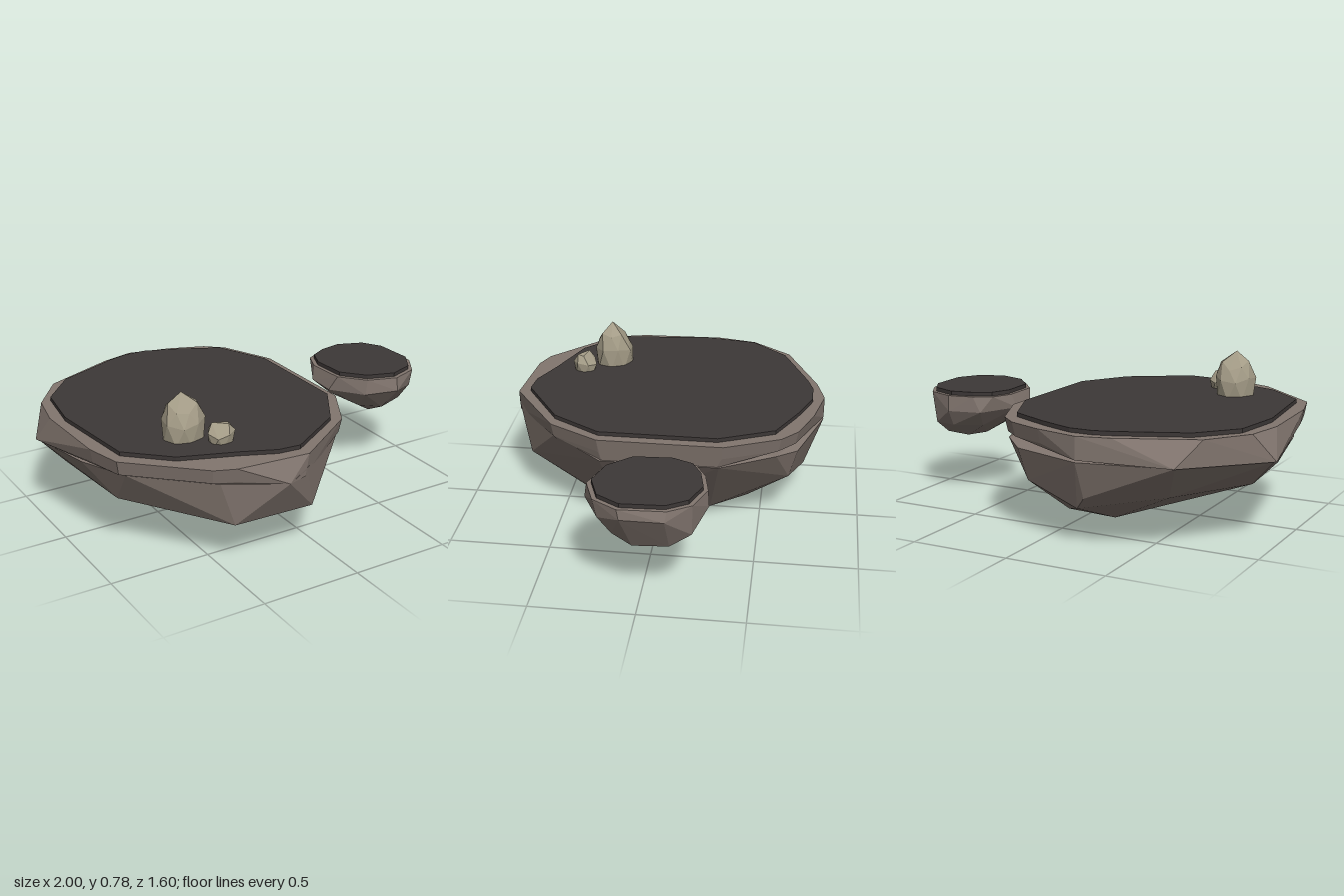
import * as THREE from 'three';
import { ConvexGeometry } from 'three/addons/geometries/ConvexGeometry.js';

const rock = new THREE.MeshStandardMaterial({ color: 0x82766f, flatShading: true });
const ground = new THREE.MeshStandardMaterial({ color: 0x3d3837, flatShading: true });
const stone = new THREE.MeshStandardMaterial({ color: 0xa39b86, flatShading: true });

// Outline of [x, z] corners placed at one height, optionally scaled about a centre
const ring = (outline, y, s = 1, cx = 0, cz = 0) =>
  outline.map(([x, z]) => [cx + (x - cx) * s, y, cz + (z - cz) * s]);

// Faceted solid wrapped around a set of corner points
function hull(name, points, material) {
  const mesh = new THREE.Mesh(new ConvexGeometry(points.map(p => new THREE.Vector3(...p))), material);
  mesh.name = name;
  return mesh;
}

// Thin flat slab standing on the rock top
function slab(name, outline, y, height) {
  const shape = new THREE.Shape(outline.map(([x, z]) => new THREE.Vector2(x, -z)));
  const geo = new THREE.ExtrudeGeometry(shape, { depth: height, bevelEnabled: false });
  geo.rotateX(-Math.PI / 2).translate(0, y, 0);
  const mesh = new THREE.Mesh(geo, ground);
  mesh.name = name;
  return mesh;
}

// Irregular faceted boulder from rings of [height, radius], closed by a tip
function boulder(name, x, z, sides, rings, tip) {
  const points = [tip];
  rings.forEach(([y, r], k) => {
    for (let i = 0; i < sides; i++) {
      const a = (i + k * 0.5) / sides * Math.PI * 2;
      const wobble = 1 + 0.06 * Math.sin(i * 2.3 + k * 1.7);
      points.push([x + Math.cos(a) * r * wobble, y + 0.012 * k * Math.sin(i * 1.9 + k), z + Math.sin(a) * r * wobble]);
    }
  });
  return hull(name, points, stone);
}

function mainIsland() {
  const g = new THREE.Group();
  g.name = 'mainIsland';

  // Overhanging rim
  const outline = [[-0.24, -0.8], [-0.02, -0.75], [0.16, -0.68], [0.25, -0.6], [0.37, -0.33], [0.37, 0.28],
    [0.23, 0.53], [-0.12, 0.77], [-0.48, 0.74], [-0.58, 0.7], [-0.9, 0.4], [-0.945, 0.22],
    [-0.96, -0.2], [-0.92, -0.4], [-0.77, -0.6], [-0.4, -0.76]];
  g.add(hull('rim', [
    ...ring(outline, 0.54),
    ...ring(outline, 0.47, 0.98, -0.3, 0),
    [-1, 0.4, -0.3], [-0.68, 0.42, -0.71], [-0.24, 0.43, -0.8],
    [0.35, 0.42, -0.3], [0.35, 0.42, 0.26], [0.2, 0.43, 0.5],
    [-0.24, 0.43, 0.8], [-0.14, 0.43, 0.77],
  ], rock));

  // Tapering underside, cut back below the front left of the rim
  g.add(hull('underside', [
    [-0.99, 0.4, -0.3], [-0.94, 0.43, 0.1], [-0.84, 0.44, 0.36], [-0.52, 0.44, 0.66],
    [-0.24, 0.43, 0.8], [-0.13, 0.47, 0.77], [0.21, 0.47, 0.52], [0.355, 0.42, 0.27],
    [0.355, 0.42, -0.31], [0.24, 0.44, -0.58], [0.13, 0.42, -0.68], [-0.24, 0.42, -0.8], [-0.68, 0.42, -0.7],
    [-0.87, 0.27, -0.25], [-0.82, 0.26, 0.22], [-0.6, 0.25, -0.58], [-0.45, 0.22, 0.67],
    [-0.05, 0.23, 0.7], [0.1, 0.26, -0.64], [-0.25, 0.24, -0.74], [-0.2, 0.18, -0.71],
    [-0.25, 0.05, 0.39], [0, 0.05, 0.37], [0.08, 0.02, 0.22], [0.08, 0.045, -0.25],
    [0, 0.08, -0.43], [-0.25, 0.07, -0.43], [-0.24, 0, 0.02],
  ], rock));

  // Dark level ground
  g.add(slab('groundTop', [[-0.3, -0.74], [-0.18, -0.74], [-0.1, -0.71], [0, -0.67], [0.2, -0.57], [0.32, -0.3],
    [0.32, 0.28], [0.17, 0.52], [-0.13, 0.71], [-0.24, 0.7], [-0.4, 0.63], [-0.67, 0.53], [-0.86, 0.35],
    [-0.91, -0.13], [-0.87, -0.4], [-0.71, -0.58], [-0.4, -0.71]], 0.53, 0.03));

  // Pair of pale boulders
  g.add(boulder('largeBoulder', -0.535, 0.34, 8, [[0.54, 0.096], [0.64, 0.102], [0.71, 0.075]], [-0.54, 0.78, 0.345]));
  g.add(boulder('smallBoulder', -0.41, 0.475, 7, [[0.54, 0.052], [0.6, 0.064], [0.625, 0.042]], [-0.4, 0.64, 0.48]));
  return g;
}

function smallIsland() {
  const g = new THREE.Group();
  g.name = 'smallIsland';
  const outline = [[0.78, -0.3], [0.92, -0.245], [0.985, -0.14], [0.995, 0.08], [0.92, 0.2], [0.78, 0.25],
    [0.63, 0.2], [0.525, 0.08], [0.515, -0.12], [0.56, -0.225], [0.65, -0.275]];

  // Rock body leaning to a low keel
  g.add(hull('smallRock', [
    ...ring(outline, 0.54),
    [0.495, 0.47, -0.1], [0.5, 0.46, 0.04], [0.62, 0.46, 0.2], [0.78, 0.47, 0.26], [0.92, 0.45, 0.18],
    [1, 0.49, 0.07], [1, 0.49, -0.13], [0.78, 0.46, -0.305], [0.61, 0.46, -0.27],
    [0.54, 0.42, 0], [0.64, 0.37, 0.12], [0.64, 0.38, -0.2], [0.78, 0.38, -0.265],
    [0.76, 0.35, 0.16], [0.9, 0.36, 0.12], [0.9, 0.38, -0.24],
    [0.77, 0.285, 0.03], [0.78, 0.3, -0.13], [0.89, 0.295, 0.03], [0.9, 0.31, -0.14],
  ], rock));

  const top = ring(outline, 0, 0.92, 0.762, -0.025).map(([x, , z]) => [x, z]);
  g.add(slab('smallGroundTop', top, 0.53, 0.03));
  return g;
}

export function createModel() {
  const model = new THREE.Group();
  model.name = 'floatingIslands';
  model.add(mainIsland(), smallIsland());
  return model;
}
